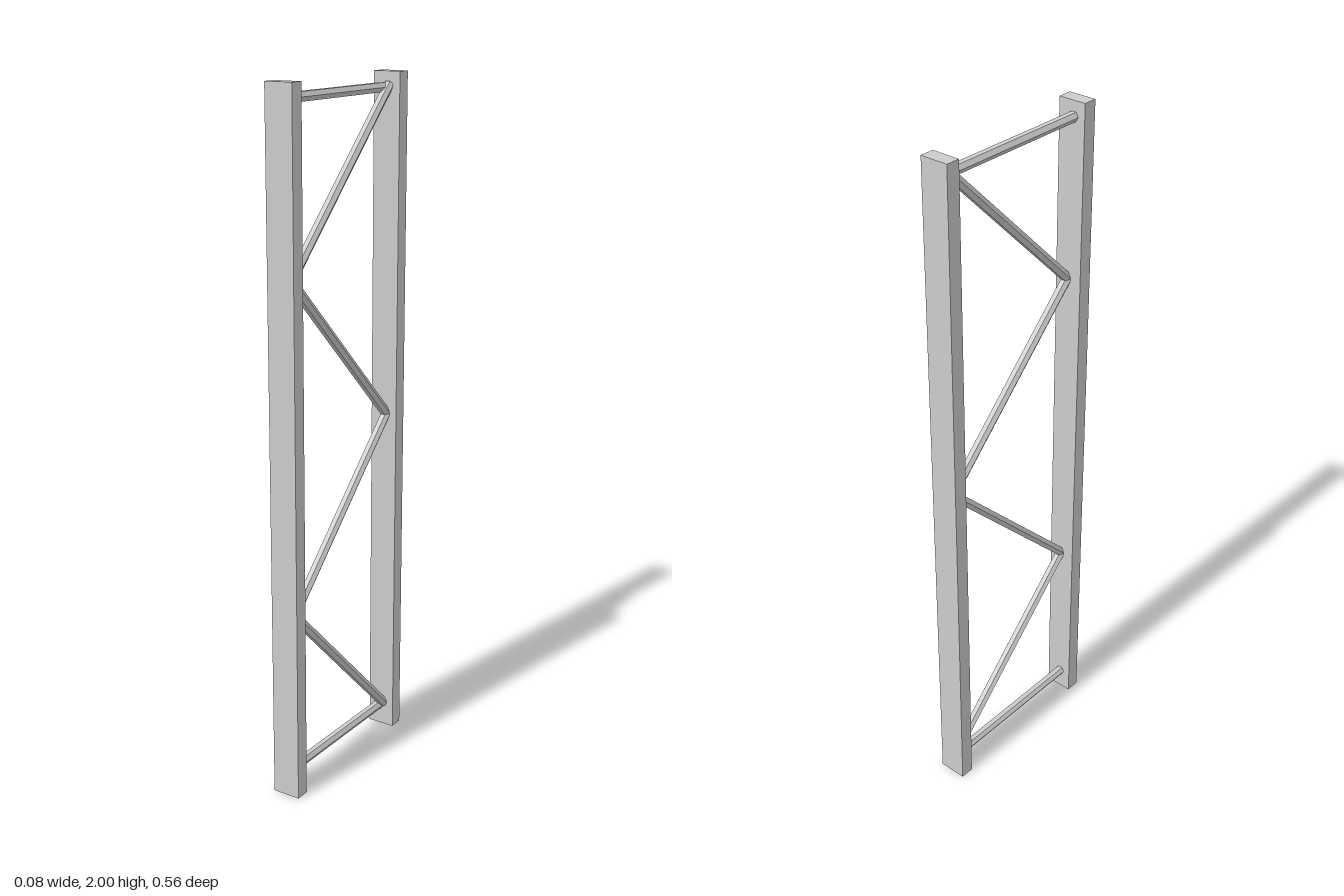
import * as THREE from 'three';

export function createModel() {
  const group = new THREE.Group();
  const material = new THREE.MeshStandardMaterial({ color: 0xcccccc, flatShading: true });

  const add = (name, geometry) => {
    const mesh = new THREE.Mesh(geometry, material);
    mesh.name = name;
    group.add(mesh);
    return mesh;
  };

  // Hexagonal bar in the plane x, between two [z, y] points, with corners to the sides
  const addBar = (name, x, [z0, y0], [z1, y1]) => {
    const dz = z1 - z0, dy = y1 - y0;
    const geometry = new THREE.CylinderGeometry(0.0148, 0.0148, Math.hypot(dz, dy), 6);
    geometry.rotateY(Math.PI / 2);
    geometry.rotateX(Math.atan2(dz, dy));
    add(name, geometry).position.set(x, (y0 + y1) / 2, (z0 + z1) / 2);
  };

  // Two flat upright posts
  for (const [name, side] of [['frontPost', 1], ['backPost', -1]]) {
    add(name, new THREE.BoxGeometry(0.084, 2, 0.042)).position.set(0, 1, side * 0.258);
  }

  // Horizontal ties near the top and bottom
  const reach = 0.24;
  addBar('topTie', -0.006, [-reach, 1.957], [reach, 1.957]);
  addBar('bottomTie', -0.006, [-reach, 0.065], [reach, 0.065]);

  // Zigzag bracing beside the ties
  const low = 0.072, rise = 0.473;
  for (let i = 0; i < 4; i++) {
    const z = i % 2 ? reach : -reach;
    addBar('diagonalBrace' + (i + 1), 0.006, [z, low + i * rise], [-z, low + (i + 1) * rise]);
  }

  return group;
}
